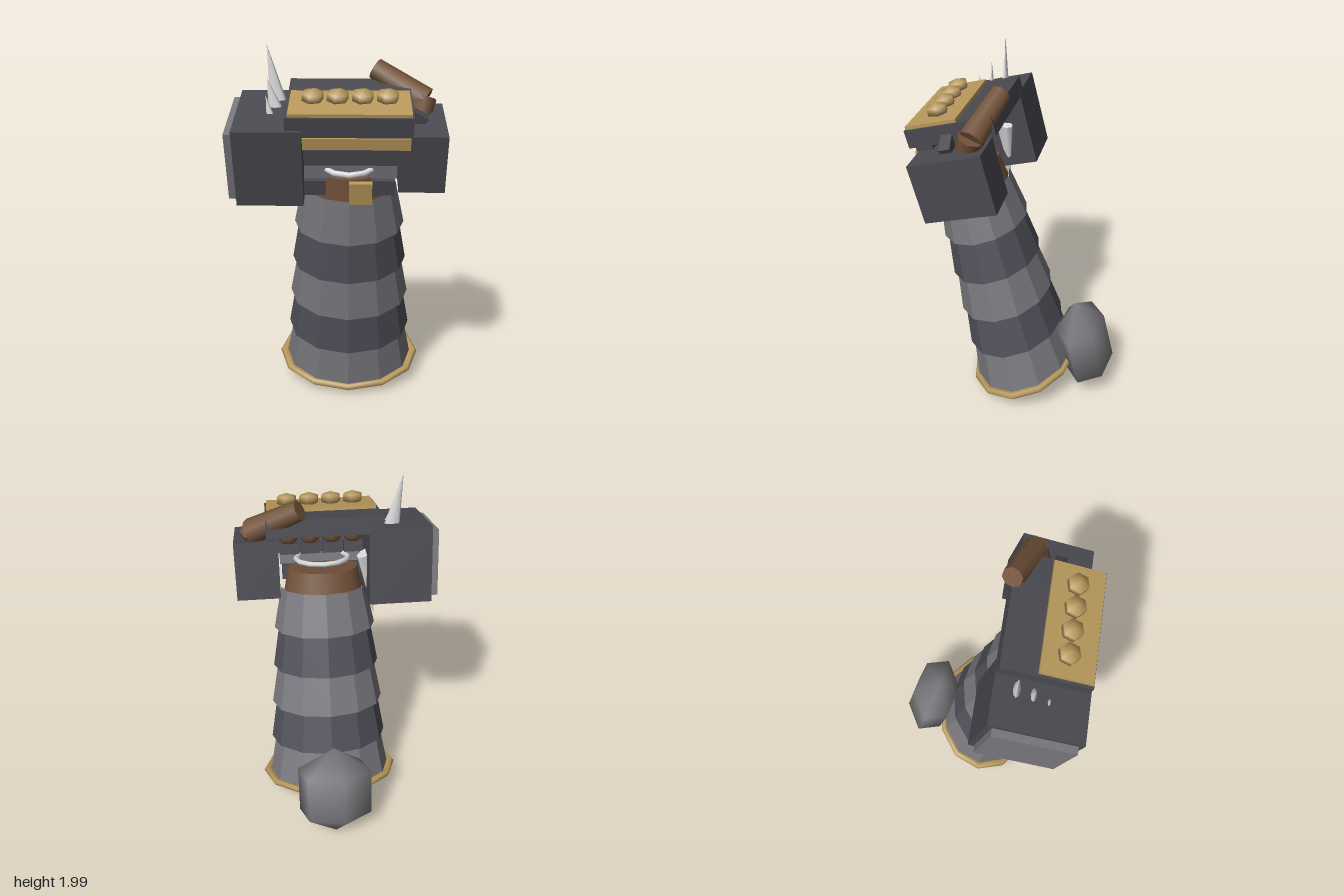
import * as THREE from 'three';

const paint = (name, color, side = THREE.FrontSide) => {
  const m = new THREE.MeshStandardMaterial({ color, side });
  m.name = name;
  return m;
};

export function createModel() {
  const steel = paint('light steel', 0x78787e);
  const darkSteel = paint('dark steel', 0x50515a);
  const iron = paint('iron', 0x4a4950);
  const gold = paint('gold', 0xb8995c);
  const leather = paint('leather', 0x73533a);
  const bone = paint('bone', 0xdedede);
  const stone = paint('stone', 0x7b7b7f);
  const lining = paint('navy lining', 0x0c0c30, THREE.DoubleSide);

  const model = new THREE.Group();
  model.name = 'gauntlet';
  // The whole arm leans forward
  const arm = new THREE.Group();
  arm.name = 'arm';
  arm.rotation.x = 0.24;
  model.add(arm);

  const add = (parent, name, geo, mat, x = 0, y = 0, z = 0) => {
    const mesh = new THREE.Mesh(geo, mat);
    mesh.name = name;
    mesh.position.set(x, y, z);
    parent.add(mesh);
    return mesh;
  };
  // Box given by its limits on each axis
  const block = (name, mat, [x0, x1], [y0, y1], [z0, z1]) =>
    add(arm, name, new THREE.BoxGeometry(x1 - x0, y1 - y0, z1 - z0), mat,
      (x0 + x1) / 2, (y0 + y1) / 2, (z0 + z1) / 2);
  const flat = (geo) => {
    const g = geo.toNonIndexed();
    g.computeVertexNormals();
    return g;
  };
  // Rod between two points, optionally flattened in depth
  const rod = (parent, name, mat, a, b, r0, r1, sides, depth = 1) => {
    const from = new THREE.Vector3(...a), to = new THREE.Vector3(...b);
    const dir = to.clone().sub(from);
    const geo = new THREE.CylinderGeometry(r1, r0, dir.length(), sides).scale(1, 1, depth);
    const mesh = add(parent, name, geo, mat);
    mesh.position.copy(from).add(to).multiplyScalar(0.5);
    mesh.quaternion.setFromUnitVectors(new THREE.Vector3(0, 1, 0), dir.normalize());
    return mesh;
  };

  // Sleeve: overlapping oval tiers
  const cx = 0.06, cz = -0.046, oval = 0.81, step = 0.24;
  const radii = [0.37, 0.35, 0.333, 0.312, 0.294, 0.268];
  for (let i = 0; i < 5; i++) {
    const y = 0.125 + i * step;
    const profile = [
      new THREE.Vector2(radii[i + 1] - 0.035, y),
      new THREE.Vector2(radii[i], y),
      new THREE.Vector2(radii[i + 1] - 0.025, y + step + 0.005),
    ];
    const geo = new THREE.LatheGeometry(profile, 12).scale(1, 1, oval);
    add(arm, 'sleeveTier' + (i + 1), flat(geo), i % 2 ? darkSteel : steel, cx, 0, cz);
  }
  const inside = [[0.345, 0.122], [0.3, 0.36], [0.2, 1.3], [0, 1.3]].map((p) => new THREE.Vector2(...p));
  add(arm, 'sleeveLining', new THREE.LatheGeometry(inside, 12).scale(1, 1, oval), lining, cx, 0, cz);
  const rim = new THREE.TorusGeometry(0.39, 0.026, 6, 12).rotateX(Math.PI / 2).scale(1, 0.75, 0.78);
  add(arm, 'sleeveRim', rim, gold, cx, 0.118, cz);

  // Elbow knob
  const knob = new THREE.SphereGeometry(1, 6, 3).rotateY(-0.3).scale(0.255, 0.283, 0.165);
  add(model, 'elbowKnob', knob, stone, 0.06, 0.28, -0.38).rotation.x = 0.24;

  // Wrist, strap pads, buckle and bone ring
  const wrist = new THREE.CylinderGeometry(0.2, 0.225, 0.13, 16).scale(1, 1, oval);
  add(arm, 'wrist', wrist, leather, cx, 1.375, cz);
  block('strapPadRight', iron, [-0.165, -0.06], [1.35, 1.433], [0.03, 0.115]);
  block('strapPadLeft', iron, [0.17, 0.29], [1.35, 1.433], [0.03, 0.115]);
  block('buckle', gold, [0.06, 0.175], [1.32, 1.44], [0.13, 0.16]);
  const ring = new THREE.TorusGeometry(0.15, 0.015, 6, 12).rotateX(Math.PI / 2);
  add(arm, 'boneRing', ring, bone, cx, 1.48, -0.01);

  // Finger guards with leather fingers behind them
  block('palmPlate', steel, [-0.165, 0.3], [1.435, 1.52], [0.06, 0.09]);
  block('lowerGuard', iron, [-0.165, 0.31], [1.516, 1.6], [0, 0.105]);
  block('goldBand', gold, [-0.17, 0.36], [1.598, 1.66], [0.02, 0.1]);
  block('upperGuard', iron, [-0.17, 0.36], [1.655, 1.69], [0, 0.09]);
  for (let i = 0; i < 4; i++) {
    const x = -0.12 + i * 0.122;
    add(arm, 'finger' + (i + 1), new THREE.SphereGeometry(0.06, 8, 6), leather, x, 1.63, -0.03);
    block('fingerPad' + (i + 1), iron, [x - 0.055, x + 0.055], [1.52, 1.58], [-0.06, 0.01]);
  }

  // Knuckle block, gold plate and studs
  block('knuckleBlock', iron, [-0.25, 0.37], [1.685, 1.78], [-0.345, 0.12]);
  block('knucklePlate', gold, [-0.235, 0.36], [1.775, 1.797], [-0.158, 0.113]);
  for (let i = 0; i < 4; i++) {
    const stud = new THREE.SphereGeometry(1, 6, 3).rotateY(0.25).scale(0.063, 0.038, 0.063);
    add(arm, 'stud' + (i + 1), stud, gold, -0.12 + i * 0.122, 1.824, -0.033);
  }

  // Side armour
  block('rightGuard', iron, [-0.51, -0.17], [1.295, 1.712], [-0.346, 0.134]);
  block('rightGuardPlate', steel, [-0.55, -0.505], [1.32, 1.685], [-0.315, 0.11]);
  block('leftGuard', iron, [0.31, 0.545], [1.345, 1.66], [-0.302, 0.08]);
  const peg = block('leftPeg', iron, [0.35, 0.45], [1.66, 1.71], [-0.125, -0.065]);
  peg.rotation.z = -0.5;

  // Thumb
  rod(model, 'thumb', leather, [0.45, 1.715, 0.175], [0.19, 1.865, 0.085], 0.068, 0.055, 8);
  rod(model, 'thumbBase', leather, [0.42, 1.64, 0.2], [0.44, 1.73, 0.17], 0.06, 0.068, 8);

  // Bone spikes on the right guard and a tusk hanging inside it
  const spikes = [
    [[-0.3, 1.66, 0.18], [-0.36, 2.0, 0.19], 0.05],
    [[-0.31, 1.66, 0.262], [-0.355, 1.845, 0.27], 0.042],
    [[-0.33, 1.64, 0.34], [-0.355, 1.77, 0.342], 0.025],
  ];
  spikes.forEach(([a, b, r], i) => rod(model, 'spike' + (i + 1), bone, a, b, r, 0, 8, 0.45));
  rod(model, 'tusk', bone, [-0.165, 1.56, 0.16], [-0.22, 1.16, 0.14], 0.035, 0, 8, 2);

  return model;
}
